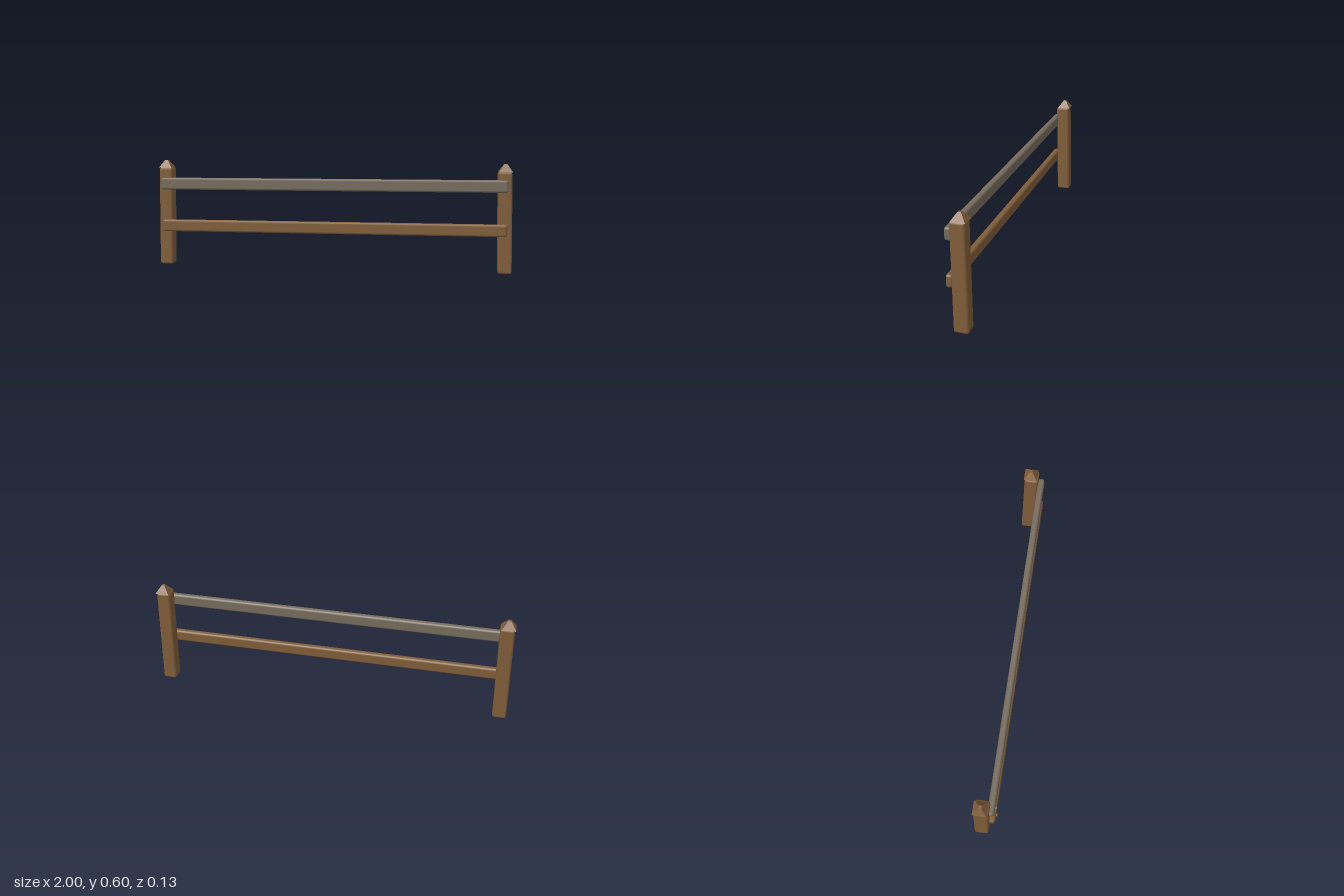
import * as THREE from 'three';
import { RoundedBoxGeometry } from 'three/addons/geometries/RoundedBoxGeometry.js';

const material = (name, color) => new THREE.MeshStandardMaterial({ name, color });

export function createModel() {
  const wood = material('brown wood', 0x805d39);
  const grey = material('weathered grey wood', 0x766b5d);
  const fence = new THREE.Group();
  fence.name = 'fence';

  const add = (name, geometry, mat, x = 0, y = 0, z = 0) => {
    const mesh = new THREE.Mesh(geometry, mat);
    mesh.name = name;
    mesh.position.set(x, y, z);
    fence.add(mesh);
    return mesh;
  };

  // Chamfered beam sheared along one axis so its ends sit at different offsets
  const beam = (size, axis, shift) => {
    const g = new RoundedBoxGeometry(...size, 1, 0.012);
    const p = g.attributes.position;
    const v = new THREE.Vector3();
    for (let i = 0; i < p.count; i++) {
      v.fromBufferAttribute(p, i);
      const t = v.getComponent(axis) / size[axis];
      v.addScaledVector(shift, t);
      p.setXYZ(i, v.x, v.y, v.z);
    }
    return g;
  };

  // Leaning posts with pointed caps
  const posts = [
    { side: 'right', base: [-0.962, -0.024], top: [-0.947, -0.012], cap: [-0.953, -0.018] },
    { side: 'left', base: [0.961, -0.021], top: [0.948, -0.0095], cap: [0.952, -0.0155] },
  ];
  for (const { side, base, top, cap } of posts) {
    const lean = new THREE.Vector3(top[0] - base[0], 0, top[1] - base[1]);
    add(side + 'Post', beam([0.077, 0.56, 0.078], 1, lean), wood,
      (base[0] + top[0]) / 2, 0.281, (base[1] + top[1]) / 2);

    const pyramid = new THREE.CylinderGeometry(0.008 * Math.SQRT2, 0.0375 * Math.SQRT2, 0.042, 4, 1).toNonIndexed();
    pyramid.rotateY(Math.PI / 4);
    pyramid.computeVertexNormals();
    add(side + 'PostCap', pyramid, wood, cap[0], 0.582, cap[1]);
  }

  // Two rails rising slightly towards the left, each with a peg at both ends
  const rise = new THREE.Vector3(0, 0.014, 0.012);
  const rails = [['upper', 0.48, grey], ['lower', 0.24, wood]];
  for (const [name, y, mat] of rails) {
    add(name + 'Rail', beam([1.935, 0.067, 0.036], 0, rise), mat, -0.002, y, 0.039);
    for (const [x, z] of [[-0.925, 0.048], [0.935, 0.052]]) {
      const peg = new THREE.CylinderGeometry(0.009, 0.009, 0.024, 8);
      peg.rotateX(Math.PI / 2);
      add(name + 'RailPeg', peg, mat, x, y + (x < 0 ? 0 : 0.004), z - 0.0005);
    }
  }
  return fence;
}
